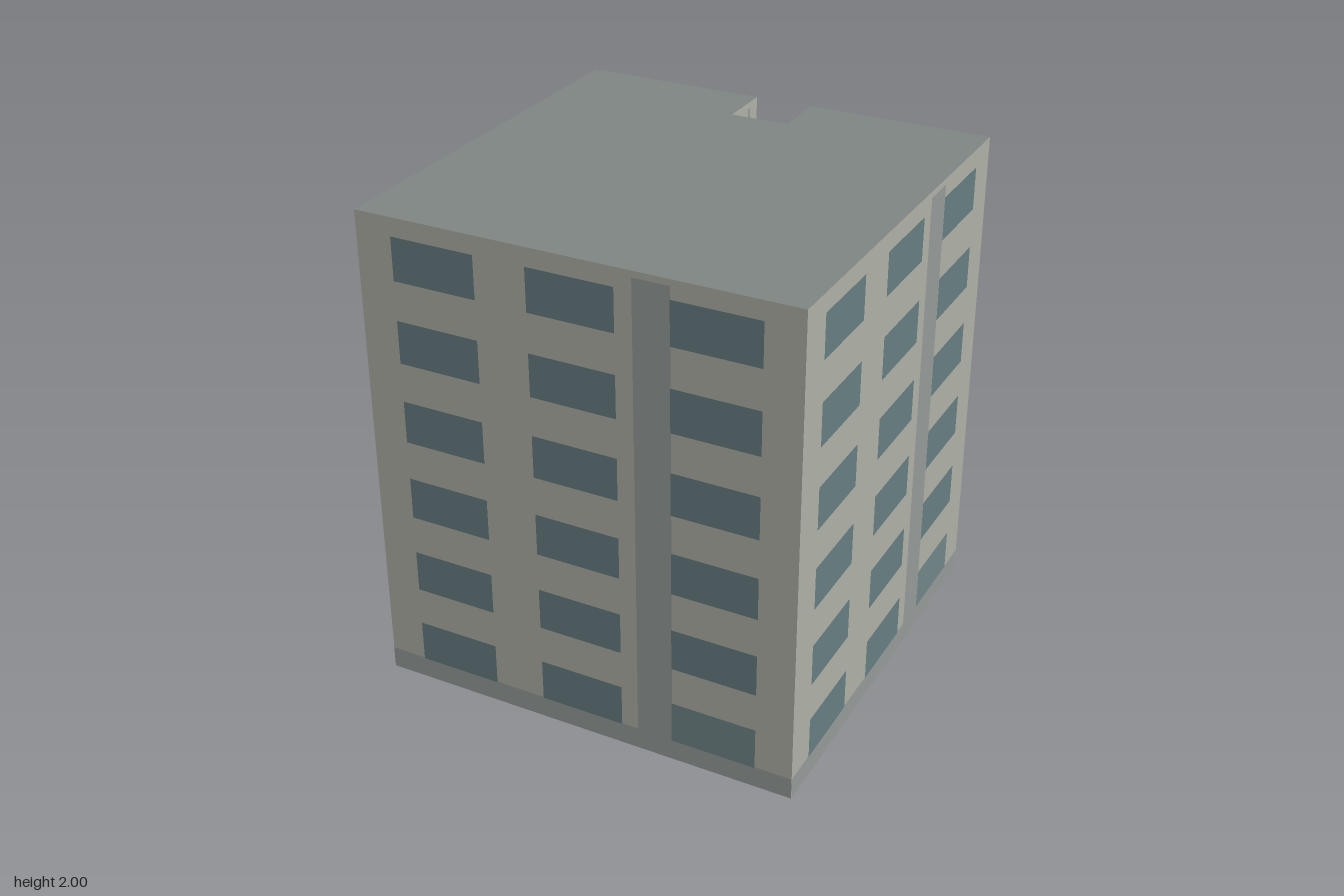
import * as THREE from 'three';

const HEIGHT = 2;
const FLOORS = 6;
const FLOOR_STEP = 0.333;

// Footprint corners (x, z), walked left to right along each wall seen from outside
const CORNERS = [
  [-0.973, 0.755], [0.781, 0.951], [0.97, -0.765], [0.214, -0.848],
  [0.19, -0.617], [-0.05, -0.641], [-0.026, -0.873], [-0.781, -0.953],
];

const paint = (color, side = THREE.FrontSide) => new THREE.MeshStandardMaterial({ color, side });
const wallPaint = paint(0xb1b2a9, THREE.DoubleSide);
const roofPaint = paint(0x808885, THREE.DoubleSide);
const trimPaint = paint(0x979d9b);
const glassPaint = paint(0x687f84);
const paleGlassPaint = paint(0x72878a);

// Upright rectangle in wall coordinates, lifted slightly off the wall plane
function panel(name, x0, x1, y0, y1, lift, material) {
  const mesh = new THREE.Mesh(new THREE.PlaneGeometry(x1 - x0, y1 - y0), material);
  mesh.position.set((x0 + x1) / 2, (y0 + y1) / 2, lift);
  mesh.name = name;
  return mesh;
}

// One wall with trim and windows; its local x runs along the wall, z points outward
function facade([ax, az], [bx, bz]) {
  const group = new THREE.Group();
  group.name = 'facade';
  const dx = bx - ax, dz = bz - az;
  const length = Math.hypot(dx, dz);
  group.position.set(ax, 0, az);
  group.rotation.y = Math.atan2(-dz, dx);

  // Wall sheet, plinth band and vertical strip
  group.add(panel('wall', 0, length, 0, HEIGHT, 0, wallPaint));
  group.add(panel('plinthBand', 0, length, 0, 0.09, 0.001, trimPaint));
  group.add(panel('verticalStrip', 0.637 * length, 0.72 * length, 0.09, 1.975, 0.001, trimPaint));

  // Long walls carry three window columns, short ones a single column
  const columns = length > 1
    ? [[0.085, 0.28], [0.4, 0.598], [0.719, 0.915]]
    : [[0.22, 0.78]];
  columns.forEach(([u0, u1], c) => {
    for (let f = 0; f < FLOORS; f++) {
      const y = 0.087 + f * FLOOR_STEP;
      const pale = f === 0 && c === columns.length - 1;
      group.add(panel('window', u0 * length, u1 * length, y, y + 0.174, 0.002,
        pale ? paleGlassPaint : glassPaint));
    }
  });
  return group;
}

// Flat roof over the footprint; the shell stays open underneath
function flatRoof() {
  const shape = new THREE.Shape(CORNERS.map(([x, z]) => new THREE.Vector2(x, -z)));
  const roof = new THREE.Mesh(new THREE.ShapeGeometry(shape), roofPaint);
  roof.rotation.x = -Math.PI / 2;
  roof.position.y = HEIGHT;
  roof.name = 'roof';
  return roof;
}

export function createModel() {
  const model = new THREE.Group();
  model.name = 'apartmentBlock';
  model.add(flatRoof());
  CORNERS.forEach((corner, i) => {
    model.add(facade(corner, CORNERS[(i + 1) % CORNERS.length]));
  });
  return model;
}
